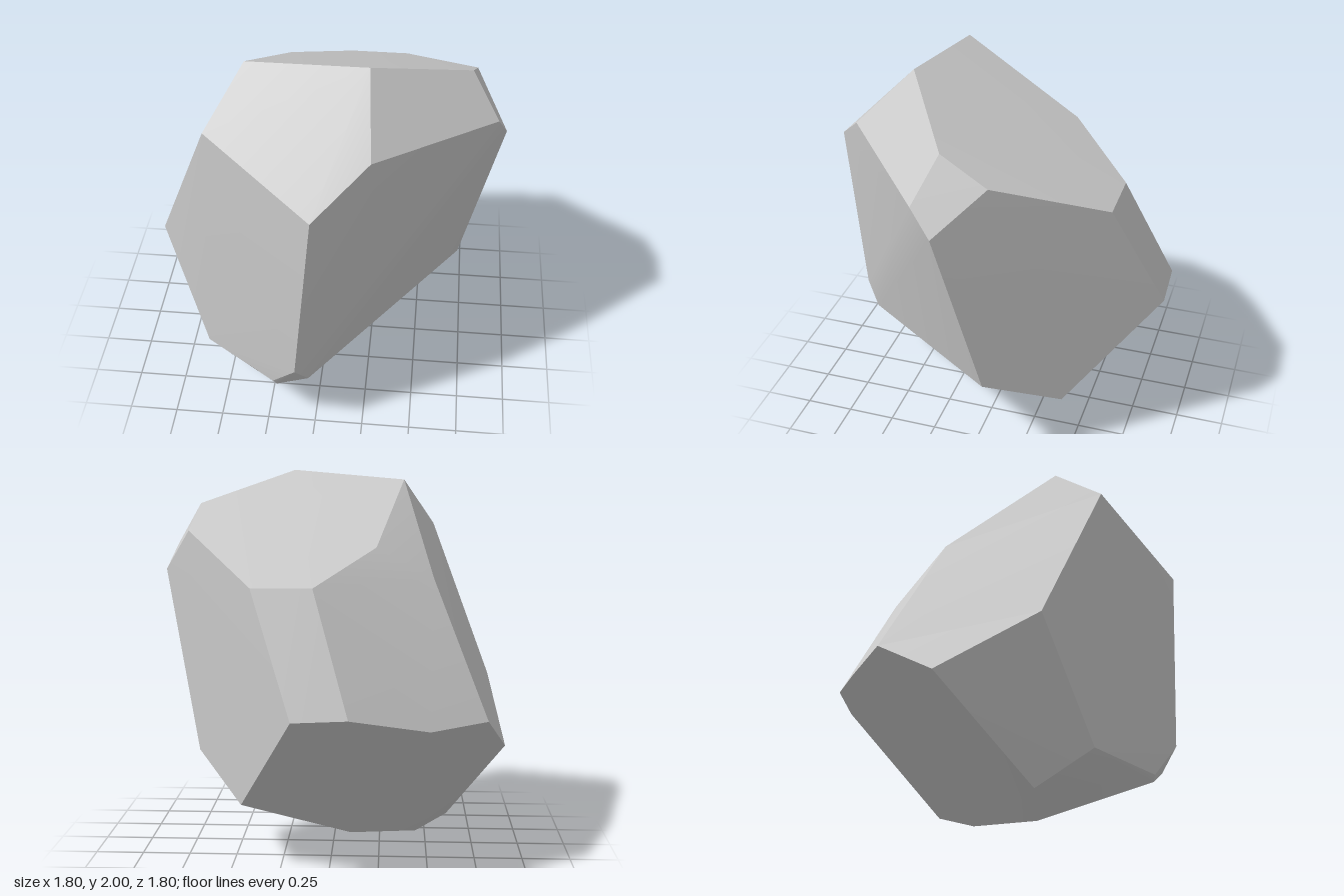
import * as THREE from 'three';
import { ConvexGeometry } from 'three/addons/geometries/ConvexGeometry.js';
import { toCreasedNormals } from 'three/addons/utils/BufferGeometryUtils.js';

// Corners of the boulder, grouped by region
const crown = [
  [0.23, 2.0, 0.39], [-0.37, 1.95, 0.31], [0.71, 1.83, 0.09], [0.74, 1.7, -0.15],
  [-0.23, 1.63, -0.32], [0.07, 1.46, -0.65], [0.37, 1.46, -0.65], [-0.52, 1.47, -0.25],
];
const front = [
  [0, 1.47, 0.9], [0.26, 1.68, 0.7], [-0.54, 1.7, 0.56], [-0.28, 1.68, 0.62],
  [-0.09, 0.47, 0.86], [-0.03, 0.35, 0.78], [-0.22, 0.28, 0.75], [-0.2, 0.25, 0.74],
];
const sides = [
  [0.85, 1.61, 0.19], [0.9, 1.48, 0.08], [0.71, 0.53, -0.1],
  [-0.84, 0.89, 0.28], [-0.9, 0.6, -0.22], [-0.6, 0.29, 0.49],
];
const back = [
  [0.16, 0.86, -0.9], [-0.11, 0.87, -0.89], [-0.5, 0.78, -0.71], [-0.79, 0.79, -0.51],
];
const base = [
  [-0.45, 0, 0.2], [-0.62, 0.1, 0.21], [-0.1, 0.1, -0.16], [0.45, 0.33, -0.45],
];

export function createModel() {
  const corners = [crown, front, sides, back, base].flat().map((p) => new THREE.Vector3(...p));

  // Faceted hull: shallow folds shade softly, strong edges stay sharp
  const geometry = toCreasedNormals(new ConvexGeometry(corners), 0.4);
  const boulder = new THREE.Mesh(geometry, new THREE.MeshStandardMaterial({ color: 0xcccccc }));
  boulder.name = 'boulder';

  const group = new THREE.Group();
  group.name = 'rock';
  group.add(boulder);
  return group;
}
